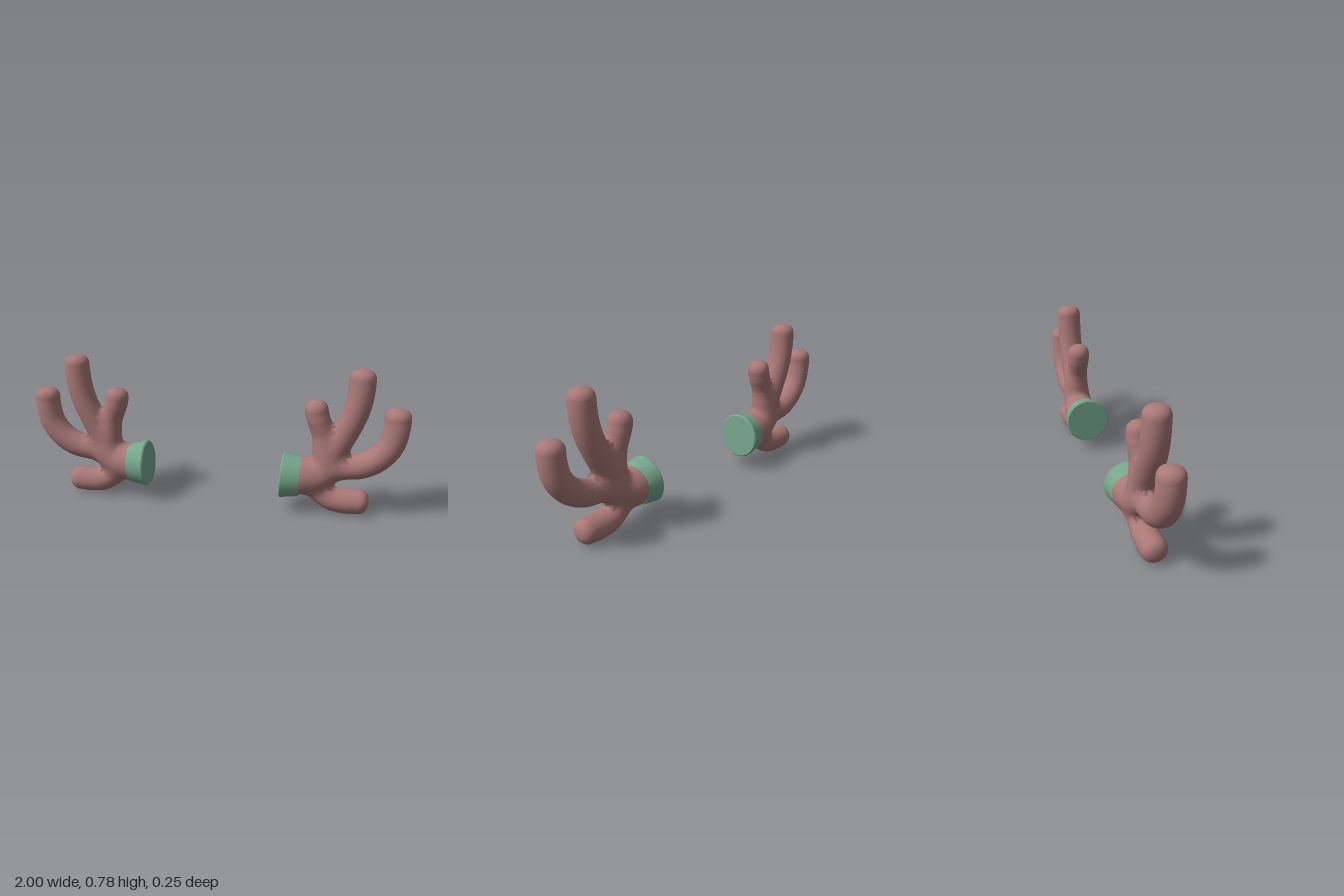
import * as THREE from 'three';
import { toCreasedNormals } from 'three/addons/utils/BufferGeometryUtils.js';

const SIDES = 24, BODY = 44, CAP = 8, CAP_LENGTH = 0.055, BLEND = 0.016;

// Centre lines in the x-y plane; the third value is the radius there.
const branches = {
  palm: [[0.41, 0.192, 0.1], [0.46, 0.193, 0.101], [0.54, 0.2, 0.08], [0.6, 0.235, 0.062], [0.65, 0.27, 0.04]],
  innerTine: [[0.575, 0.22, 0.05], [0.58, 0.32, 0.058], [0.566, 0.43, 0.056], [0.535, 0.53, 0.06], [0.522, 0.605, 0.058]],
  middleTine: [[0.56, 0.22, 0.05], [0.63, 0.34, 0.062], [0.69, 0.46, 0.065], [0.728, 0.56, 0.066], [0.746, 0.66, 0.066], [0.75, 0.777, 0.066]],
  outerTine: [[0.56, 0.215, 0.05], [0.67, 0.25, 0.06], [0.77, 0.27, 0.066], [0.85, 0.315, 0.066], [0.908, 0.39, 0.066], [0.93, 0.48, 0.066], [0.931, 0.586, 0.066]],
  lowerTine: [[0.51, 0.175, 0.05], [0.57, 0.11, 0.058], [0.63, 0.077, 0.064], [0.7, 0.069, 0.067], [0.76, 0.071, 0.066], [0.82, 0.066, 0.063]],
};

const curves = Object.entries(branches).map(([name, pts]) => {
  const curve = new THREE.CatmullRomCurve3(pts.map(p => new THREE.Vector3(...p)));
  return { name, curve, samples: curve.getSpacedPoints(50) };
});

// Distance to all branches, softly merged so the forks are filleted
function field(x, y, z) {
  let sum = 0;
  for (const { samples } of curves) {
    let d = Infinity;
    for (const s of samples) {
      const dx = x - s.x, dy = y - s.y;
      d = Math.min(d, Math.sqrt(dx * dx + dy * dy + z * z) - s.z);
    }
    sum += Math.exp(-d / BLEND);
  }
  return -BLEND * Math.log(sum);
}

// Sweep rings along a branch, pushing each vertex out to the merged surface
function branchGeometry(curve) {
  const positions = [], normals = [], index = [];
  const capStart = 1 - CAP_LENGTH / curve.getLength();
  const e = 0.001;
  for (let i = 0; i <= BODY + CAP; i++) {
    const u = i <= BODY ? 0 : Math.sin((i - BODY) / CAP * Math.PI / 2);
    const s = i <= BODY ? capStart * i / BODY : capStart + (1 - capStart) * u;
    const squeeze = Math.pow(Math.max(0, 1 - Math.pow(u, 2.4)), 1 / 2.4);
    const p = curve.getPointAt(Math.min(s, 1));
    const t = curve.getTangentAt(Math.min(s, 1));
    const len = Math.hypot(t.x, t.y);
    for (let j = 0; j < SIDES; j++) {
      const a = j / SIDES * Math.PI * 2;
      const dx = -t.y / len * Math.cos(a), dy = t.x / len * Math.cos(a), dz = Math.sin(a);
      let r = p.z * 0.8;
      for (let k = 0; k < 12; k++) r -= field(p.x + dx * r, p.y + dy * r, dz * r);
      r = Math.min(r, p.z * 1.9) * squeeze;
      const x = p.x + dx * r, y = p.y + dy * r, z = dz * r;
      positions.push(x, y, z);
      if (u === 0) {
        const f = field(x, y, z);
        normals.push(new THREE.Vector3(field(x + e, y, z) - f, field(x, y + e, z) - f, field(x, y, z + e) - f).normalize());
      }
      if (i < BODY + CAP) {
        const b = i * SIDES + j, c = i * SIDES + (j + 1) % SIDES;
        index.push(b, c, b + SIDES, c, c + SIDES, b + SIDES);
      }
    }
  }
  const geo = new THREE.BufferGeometry();
  geo.setAttribute('position', new THREE.Float32BufferAttribute(positions, 3));
  geo.setIndex(index);
  geo.computeVertexNormals();
  normals.forEach((n, i) => geo.attributes.normal.setXYZ(i, n.x, n.y, n.z));
  // The pole faces straight along the branch
  const end = curve.getTangentAt(1).setZ(0).normalize();
  for (let j = 0; j < SIDES; j++) geo.attributes.normal.setXYZ((BODY + CAP) * SIDES + j, end.x, end.y, 0);
  return geo;
}

// Flip a part to the other side in x and turn its faces round again
function mirrored(geometry) {
  const geo = geometry.clone().scale(-1, 1, 1);
  if (!geo.index) geo.setIndex([...Array(geo.attributes.position.count).keys()]);
  const ix = geo.index.array;
  for (let i = 0; i < ix.length; i += 3) [ix[i], ix[i + 1]] = [ix[i + 1], ix[i]];
  return geo;
}

// Tapered sleeve with a small bevel at its wide, flat end
function collarGeometry() {
  const profile = [[0, 0], [0.117, 0], [0.123, 0.007], [0.105, 0.1], [0, 0.1]];
  const lathe = new THREE.LatheGeometry(profile.map(p => new THREE.Vector2(...p)), 40);
  lathe.rotateZ(-Math.PI / 2 - 0.06).translate(0.363, 0.194, 0);
  return toCreasedNormals(lathe, 0.6);
}

export function createModel() {
  const model = new THREE.Group();
  model.name = 'antlers';
  const hornMaterial = new THREE.MeshStandardMaterial({ color: 0xa97876 });
  const collarMaterial = new THREE.MeshStandardMaterial({ color: 0x76a68c });

  const parts = curves.map(({ name, curve }) => ({ name, geo: branchGeometry(curve), material: hornMaterial }));
  parts.push({ name: 'collar', geo: collarGeometry(), material: collarMaterial });

  for (const side of ['left', 'right']) {
    const antler = new THREE.Group();
    antler.name = side + 'Antler';
    for (const { name, geo, material } of parts) {
      const mesh = new THREE.Mesh(side === 'left' ? geo : mirrored(geo), material);
      mesh.name = name;
      if (name !== 'collar') mesh.position.z = -0.005;
      antler.add(mesh);
    }
    model.add(antler);
  }
  return model;
}
